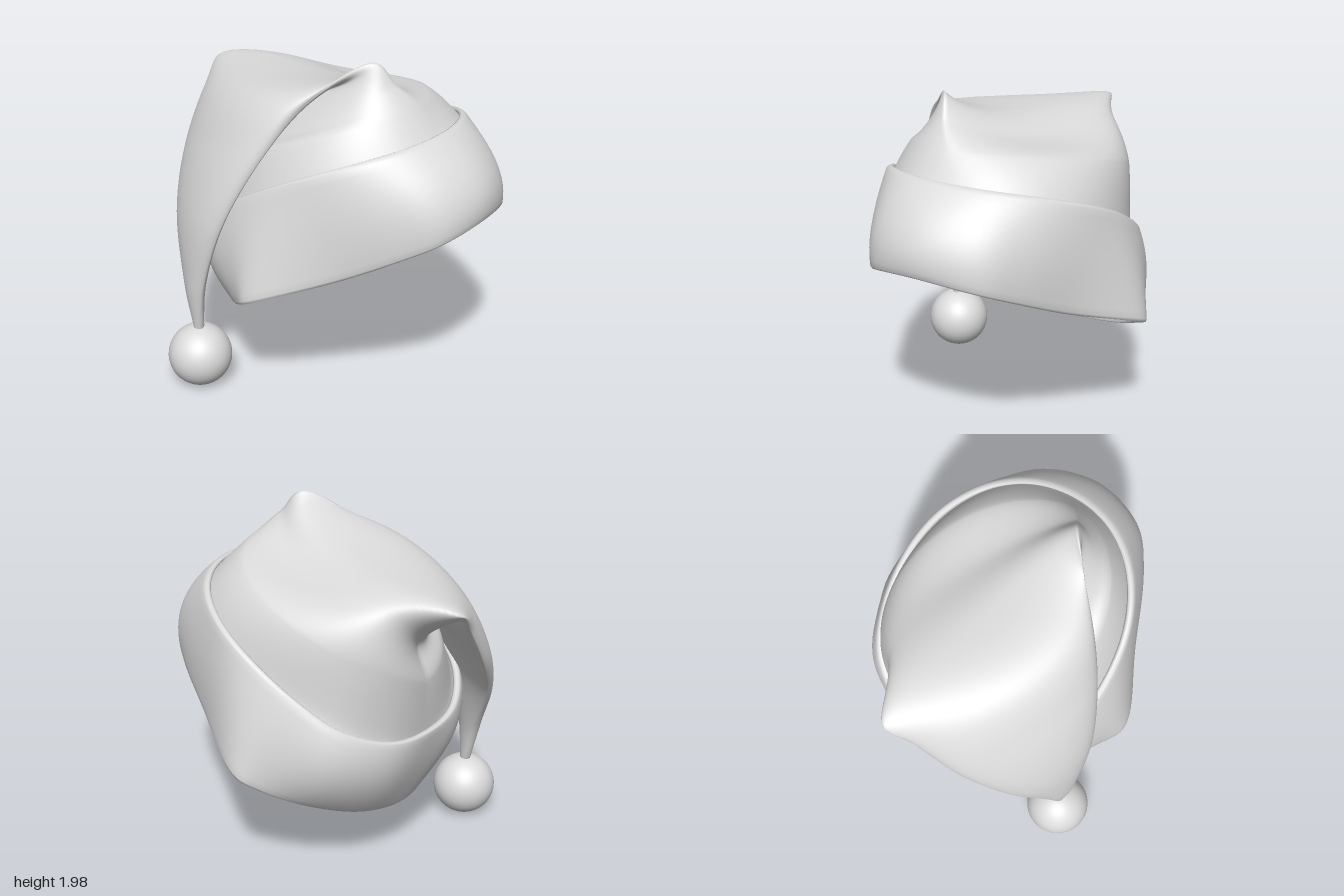
import * as THREE from 'three';

const V = (p) => new THREE.Vector3(...p);
const SIDES = 112; // points around every ring

// Skin a list of closed rings; closed = also join the last ring to the first
function loft(rings, closed = false) {
  const n = SIDES, m = rings.length, index = [];
  for (let i = 0; i < (closed ? m : m - 1); i++) {
    for (let j = 0; j < n; j++) {
      const a = i * n + j, b = i * n + (j + 1) % n;
      const c = ((i + 1) % m) * n + j, d = ((i + 1) % m) * n + (j + 1) % n;
      index.push(a, b, c, b, d, c);
    }
  }
  const g = new THREE.BufferGeometry().setFromPoints(rings.flat());
  g.setIndex(index);
  g.computeVertexNormals();
  return g;
}

// Turned-up brim: half outlines from front to back, mirrored across x
const LOWER = [[0, 1.19, 0.95], [0.3, 1.15, 0.885], [0.46, 1.06, 0.71], [0.63, 0.91, 0.4], [0.84, 0.765, 0.02],
  [0.78, 0.67, -0.15], [0.57, 0.54, -0.33], [0.3, 0.44, -0.48], [0, 0.4, -0.54]];
const UPPER = [[0, 0.7], [0.26, 0.65], [0.48, 0.5], [0.63, 0.27], [0.685, 0],
  [0.655, -0.29], [0.54, -0.52], [0.3, -0.67], [0, -0.71]];
const BULGE = [0.09, 0.07, 0.04, 0.02, 0.01, 0.03, 0.08, 0.06, 0.02];

function brimRing(t, inset) {
  const zc = 0.2 * (1 - t);
  const half = LOWER.map((p, i) => {
    const [x, z] = UPPER[i];
    const q = V(p).lerp(new THREE.Vector3(x, 1.36 + 0.507 * z - 0.19 * z * z, z), t);
    const out = new THREE.Vector3(q.x, 0, q.z - zc).normalize();
    return q.addScaledVector(out, 4 * t * (1 - t) * BULGE[i] - inset);
  });
  // the right side is slightly narrower
  const mirrored = half.slice(1, -1).reverse().map((p) => new THREE.Vector3(-0.96 * p.x, p.y, p.z));
  const curve = new THREE.CatmullRomCurve3([...half, ...mirrored], true, 'catmullrom', 0.5);
  return Array.from({ length: SIDES }, (_, j) => curve.getPoint(j / SIDES));
}

function brimGeometry() {
  const rows = [[-0.012, 0.02], [-0.008, 0.008]];
  for (let k = 0; k <= 14; k++) rows.push([0.02 + 0.955 * k / 14, 0]);
  rows.push([0.995, 0.007], [1.005, 0.02], [0.995, 0.035], [0.97, 0.045]);
  for (let k = 0; k <= 8; k++) rows.push([0.9 - 0.87 * k / 8, 0.05 - 0.01 * k / 8]);
  rows.push([0, 0.033]);
  return loft(rows.map(([t, inset]) => brimRing(t, inset)), true);
}

// Crown sections: front edge, back edge, outer bow, inner bow, dent behind the front peak.
// It rises from the brim, folds over along a ridge and hangs as a flat tail.
const SECTIONS = [
  [[0, 1.6, 0.66], [0, 0.9, -0.66], [0.64, 0.1, 0], [-0.62, 0.1, 0], [0, 0, 0]],
  [[-0.03, 1.74, 0.57], [0.03, 1.2, -0.685], [0.57, 0.1, -0.12], [-0.52, 0.05, 0], [0, -0.03, 0]],
  [[-0.12, 1.87, 0.46], [0.06, 1.43, -0.64], [0.39, 0.04, -0.26], [-0.36, -0.08, 0], [0, -0.1, 0]],
  [[-0.195, 1.99, 0.34], [0.13, 1.67, -0.94], [0.11, -0.06, -0.1], [-0.16, -0.16, 0], [0, -0.06, 0]],
  [[-0.41, 1.8, 0.11], [-0.02, 1.53, -0.92], [-0.12, 0.06, -0.03], [0.01, -0.08, 0.02], [0, -0.01, 0]],
  [[-0.59, 1.5, -0.07], [-0.24, 1.25, -0.87], [-0.11, 0.05, -0.07], [0.03, -0.03, 0.02], [0, 0, 0]],
  [[-0.71, 1.1, -0.26], [-0.46, 0.96, -0.76], [-0.08, 0.02, -0.06], [0.04, 0, 0.03], [0, 0, 0]],
  [[-0.72, 0.68, -0.41], [-0.6, 0.64, -0.61], [-0.05, 0, -0.04], [0.04, 0, 0.02], [0, 0, 0]],
  [[-0.69, 0.35, -0.48], [-0.65, 0.35, -0.52], [-0.02, 0, -0.02], [0.02, 0, 0.02], [0, 0, 0]],
];

function crownGeometry() {
  const tracks = [0, 1, 2, 3, 4].map((k) =>
    new THREE.CatmullRomCurve3(SECTIONS.map((s) => V(s[k])), false, 'catmullrom', 0.5));
  const hem = brimRing(0.95, 0.046);
  const rings = [brimRing(0.85, 0.049)]; // joined to the brim lining
  for (let i = 0; i <= 96; i++) {
    const [front, back, outer, inner, dent] = tracks.map((c) => c.getPoint(i / 96));
    const mid = front.clone().add(back).multiplyScalar(0.5);
    const axis = front.sub(back).multiplyScalar(0.5);
    const toHem = Math.max(0, 1 - i / 12);
    rings.push(Array.from({ length: SIDES }, (_, j) => {
      const a = j / SIDES * Math.PI * 2, s = Math.sin(a), c = Math.cos(a);
      return mid.clone().addScaledVector(axis, c)
        .addScaledVector(s > 0 ? outer : inner, Math.abs(s))
        .addScaledVector(dent, 2 * Math.max(0, s) * c)
        .lerp(hem[j], toHem);
    }));
  }
  return loft(rings);
}

export function createModel() {
  const group = new THREE.Group();
  group.name = 'bobbleHat';
  const felt = new THREE.MeshStandardMaterial({ color: 0xdcdcdc, side: THREE.DoubleSide });
  felt.name = 'light grey felt';
  const add = (name, geometry) => {
    const mesh = new THREE.Mesh(geometry, felt);
    mesh.name = name;
    group.add(mesh);
    return mesh;
  };
  add('brim', brimGeometry());
  add('crownAndTail', crownGeometry());
  add('pompom', new THREE.SphereGeometry(0.183, 40, 28)).position.set(-0.67, 0.19, -0.5);
  return group;
}
